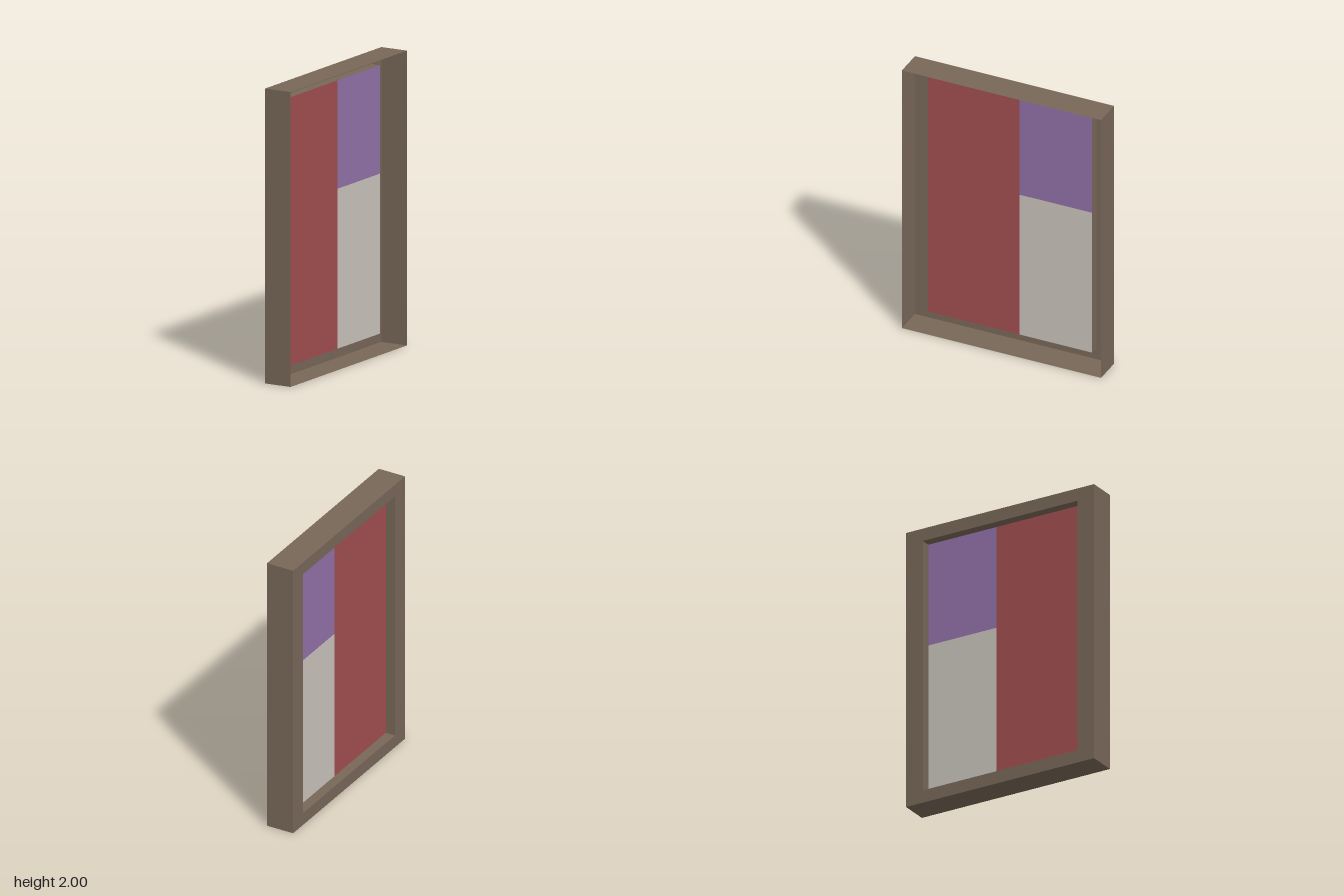
import * as THREE from 'three';

const HEIGHT = 2, DEPTH = 1.46;          // outer size along y and z
const HOLE_H = 1.82, HOLE_D = 1.2;       // opening along y and z
const BACK = -0.1, FRONT = 0.1, PANE_X = -0.03;

function material(name, color) {
  const m = new THREE.MeshStandardMaterial({ color, side: THREE.DoubleSide });
  m.name = name;
  return m;
}

// Thin rectangle facing +x
function sheet(name, mat, x, z0, z1, y0, y1) {
  const mesh = new THREE.Mesh(new THREE.PlaneGeometry(z1 - z0, y1 - y0).rotateY(Math.PI / 2), mat);
  mesh.position.set(x, (y0 + y1) / 2, (z0 + z1) / 2);
  mesh.name = name;
  return mesh;
}

// Four thin walls around a rectangle, running along x
function sleeve(name, mat, h, d, x0, x1) {
  const group = new THREE.Group();
  group.name = name;
  const w = x1 - x0, cx = (x0 + x1) / 2;
  for (const s of [1, -1]) {
    const side = new THREE.Mesh(new THREE.PlaneGeometry(w, h), mat);
    side.rotation.y = s > 0 ? 0 : Math.PI;
    side.position.set(cx, HEIGHT / 2, s * d / 2);
    side.name = s > 0 ? 'frontWall' : 'backWall';
    const level = new THREE.Mesh(new THREE.PlaneGeometry(w, d), mat);
    level.rotation.x = -s * Math.PI / 2;
    level.position.set(cx, HEIGHT / 2 + s * h / 2, 0);
    level.name = s > 0 ? 'topWall' : 'bottomWall';
    group.add(side, level);
  }
  return group;
}

function rectangle(target, w, h) {
  target.moveTo(-w / 2, -h / 2);
  target.lineTo(w / 2, -h / 2);
  target.lineTo(w / 2, h / 2);
  target.lineTo(-w / 2, h / 2);
  target.closePath();
  return target;
}

export function createModel() {
  const model = new THREE.Group();
  model.name = 'framedPanel';
  const wood = material('brownFrame', 0x786758);
  const red = material('redPane', 0xa14d50);
  const purple = material('purplePane', 0x9171a8);
  const cream = material('creamPane', 0xc9c4bb);

  // Outer casing, open on the +x side
  model.add(sleeve('casing', wood, HEIGHT, DEPTH, BACK, FRONT));

  // Flat border on the -x side
  const shape = rectangle(new THREE.Shape(), DEPTH, HEIGHT);
  shape.holes.push(rectangle(new THREE.Path(), HOLE_D, HOLE_H));
  const border = new THREE.Mesh(new THREE.ShapeGeometry(shape).rotateY(-Math.PI / 2), wood);
  border.position.set(BACK, HEIGHT / 2, 0);
  border.name = 'border';
  model.add(border);

  // Recess walls between border and panes
  model.add(sleeve('recess', wood, HOLE_H, HOLE_D, BACK, PANE_X));

  // Coloured panes
  const z = HOLE_D / 2, y0 = (HEIGHT - HOLE_H) / 2, y1 = y0 + HOLE_H;
  const splitZ = -0.07, splitY = 1.175;
  model.add(
    sheet('redPane', red, PANE_X, splitZ, z, y0, y1),
    sheet('purplePane', purple, PANE_X, -z, splitZ, splitY, y1),
    sheet('creamPane', cream, PANE_X, -z, splitZ, y0, splitY),
  );
  return model;
}
